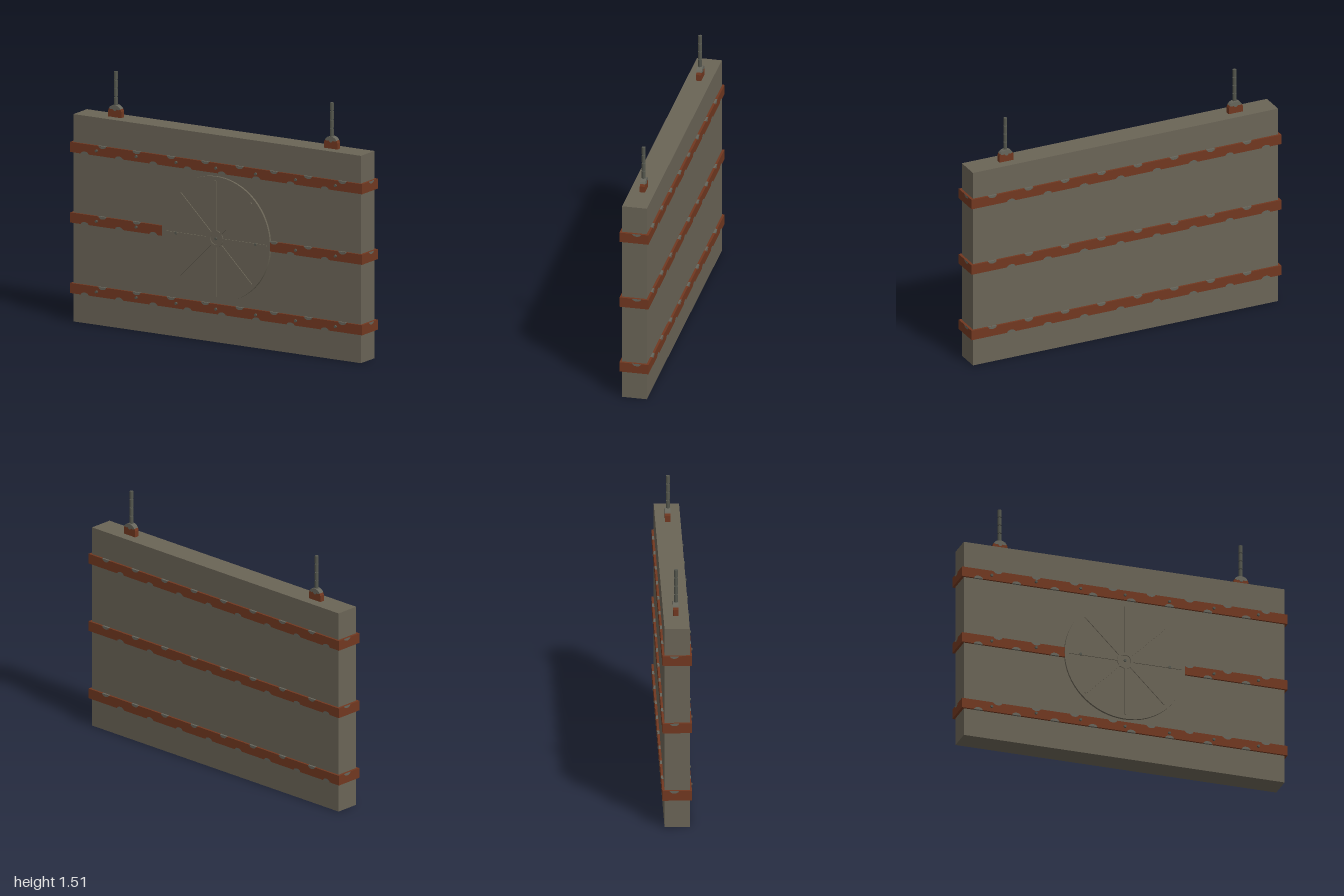
import * as THREE from 'three';

export function createModel() {
  const root = new THREE.Group();
  const mat = (name, color, side = THREE.FrontSide) => {
    const m = new THREE.MeshStandardMaterial({ color, side });
    m.name = name;
    return m;
  };
  const stone = mat('weathered board', 0x6a6456);
  const rust = mat('rusty iron', 0x713820);
  const worn = mat('worn metal', 0x66655b, THREE.DoubleSide);
  const steel = mat('chain steel', 0x55574e);

  const add = (parent, name, geo, material, x = 0, y = 0, z = 0) => {
    const m = new THREE.Mesh(geo, material);
    m.name = name;
    m.position.set(x, y, z);
    parent.add(m);
    return m;
  };
  const box = (w, h, d) => new THREE.BoxGeometry(w, h, d);

  // Main slab
  add(root, 'board', box(1.97, 1.235, 0.147), stone, 0, 0.6175, -0.0035);

  // Half-round worn patch hanging down from the edge it sits on
  const patchShape = new THREE.Shape();
  patchShape.moveTo(-0.028, 0);
  patchShape.bezierCurveTo(-0.02, -0.021, 0.02, -0.021, 0.028, 0);
  const patchGeo = new THREE.ShapeGeometry(patchShape, 6);

  // Iron straps wrapped around the board
  const H = 0.06, zF = 0.082, zB = -0.09;
  const buildStrap = (y) => {
    const strap = new THREE.Group();
    strap.name = 'strap';
    strap.position.y = y;
    add(strap, 'strapFront', box(2, H, 0.014), rust, 0, 0, zF - 0.007);
    add(strap, 'strapBack', box(2, H, 0.014), rust, 0, 0, zB + 0.007);
    for (const s of [-1, 1]) {
      add(strap, 'strapEnd', box(0.016, H, zF - zB - 0.028), rust, s * 0.992, 0, (zF + zB) / 2);
      const p = add(strap, 'wornPatch', patchGeo, worn, s * 1.0006, H / 2, -0.02);
      p.rotation.y = s * Math.PI / 2;
    }
    for (let i = 0; i < 8; i++) {
      for (const edge of [1, -1]) {
        const x = (edge > 0 ? -0.78 : -0.9) + i * 0.235;
        for (const [z, turn] of [[zF + 0.0006, 0], [zB - 0.0006, Math.PI]]) {
          const p = add(strap, 'wornPatch', patchGeo, worn, x, edge * H / 2, z);
          p.rotation.set(0, turn, edge > 0 ? 0 : Math.PI);
        }
        // worn spot continuing over the strap's thin edge
        for (const z of [zF - 0.006, zB + 0.006])
          add(strap, 'wornEdge', box(0.054, 0.001, 0.012), worn, x, edge * H / 2, z);
      }
    }
    root.add(strap);
  };

  // Rivets along each strap
  const rivetGeo = new THREE.CylinderGeometry(0.008, 0.01, 0.018, 8);
  rivetGeo.rotateX(Math.PI / 2);
  for (const y of [0.2, 0.62, 1.04]) {
    buildStrap(y);
    for (let i = -3; i <= 3; i++)
      add(root, 'rivet', rivetGeo, steel, i * 0.273, y, 0.082);
  }

  // Round emblem plate with raised spokes and hub
  const wheel = new THREE.Group();
  wheel.name = 'wheelPlate';
  wheel.position.set(0, 0.62, 0);
  root.add(wheel);
  const discGeo = new THREE.CylinderGeometry(0.37, 0.37, 0.02, 64);
  discGeo.rotateX(Math.PI / 2);
  add(wheel, 'disc', discGeo, stone, 0, 0, 0.0735);
  for (let i = 0; i < 8; i++) {
    const a = i * Math.PI / 4;
    const spoke = add(wheel, 'spoke', box(0.3, 0.012, 0.01), stone,
      Math.cos(a) * 0.195, Math.sin(a) * 0.195, 0.084);
    spoke.rotation.z = a;
  }
  const hubShape = new THREE.Shape().absarc(0, 0, 0.05, 0, Math.PI * 2);
  hubShape.holes.push(new THREE.Path().absarc(0, 0, 0.035, 0, Math.PI * 2, true));
  add(wheel, 'hubRing', new THREE.ExtrudeGeometry(hubShape,
    { depth: 0.008, bevelEnabled: false, curveSegments: 16 }), stone, 0, 0, 0.081);

  // Hanging lugs: rusty base with a worn domed top
  const lugShape = new THREE.Shape();
  lugShape.moveTo(-0.045, 0);
  lugShape.lineTo(0.045, 0);
  lugShape.lineTo(0.045, 0.037);
  lugShape.bezierCurveTo(0.035, 0.082, -0.035, 0.082, -0.045, 0.037);
  lugShape.closePath();
  const lugGeo = new THREE.ExtrudeGeometry(lugShape, { depth: 0.03, bevelEnabled: false, curveSegments: 10 });
  const capShape = new THREE.Shape();
  capShape.moveTo(0.039, 0.051);
  capShape.bezierCurveTo(0.024, 0.08, -0.024, 0.08, -0.039, 0.051);
  capShape.quadraticCurveTo(-0.025, 0.04, -0.015, 0.049);
  capShape.quadraticCurveTo(0, 0.024, 0.015, 0.049);
  capShape.quadraticCurveTo(0.025, 0.04, 0.039, 0.051);
  const capGeo = new THREE.ExtrudeGeometry(capShape, { depth: 0.032, bevelEnabled: false, curveSegments: 8 });

  // Chains: stacked short links on a thin core
  const linkGeo = new THREE.CylinderGeometry(0.0115, 0.0115, 0.046, 8);
  const coreGeo = new THREE.CylinderGeometry(0.005, 0.005, 0.2, 6);
  for (const s of [-1, 1]) {
    const hanger = new THREE.Group();
    hanger.name = s > 0 ? 'leftHanger' : 'rightHanger';
    hanger.position.set(s * 0.74, 1.235, 0);
    add(hanger, 'lug', lugGeo, rust, 0, 0, -0.02);
    add(hanger, 'lugCap', capGeo, worn, 0, 0, -0.021);
    add(hanger, 'chainCore', coreGeo, steel, 0, 0.165, -0.003);
    for (let i = 0; i < 4; i++)
      add(hanger, 'chainLink', linkGeo, steel, 0, 0.094 + i * 0.0515, -0.003);
    root.add(hanger);
  }
  return root;
}
